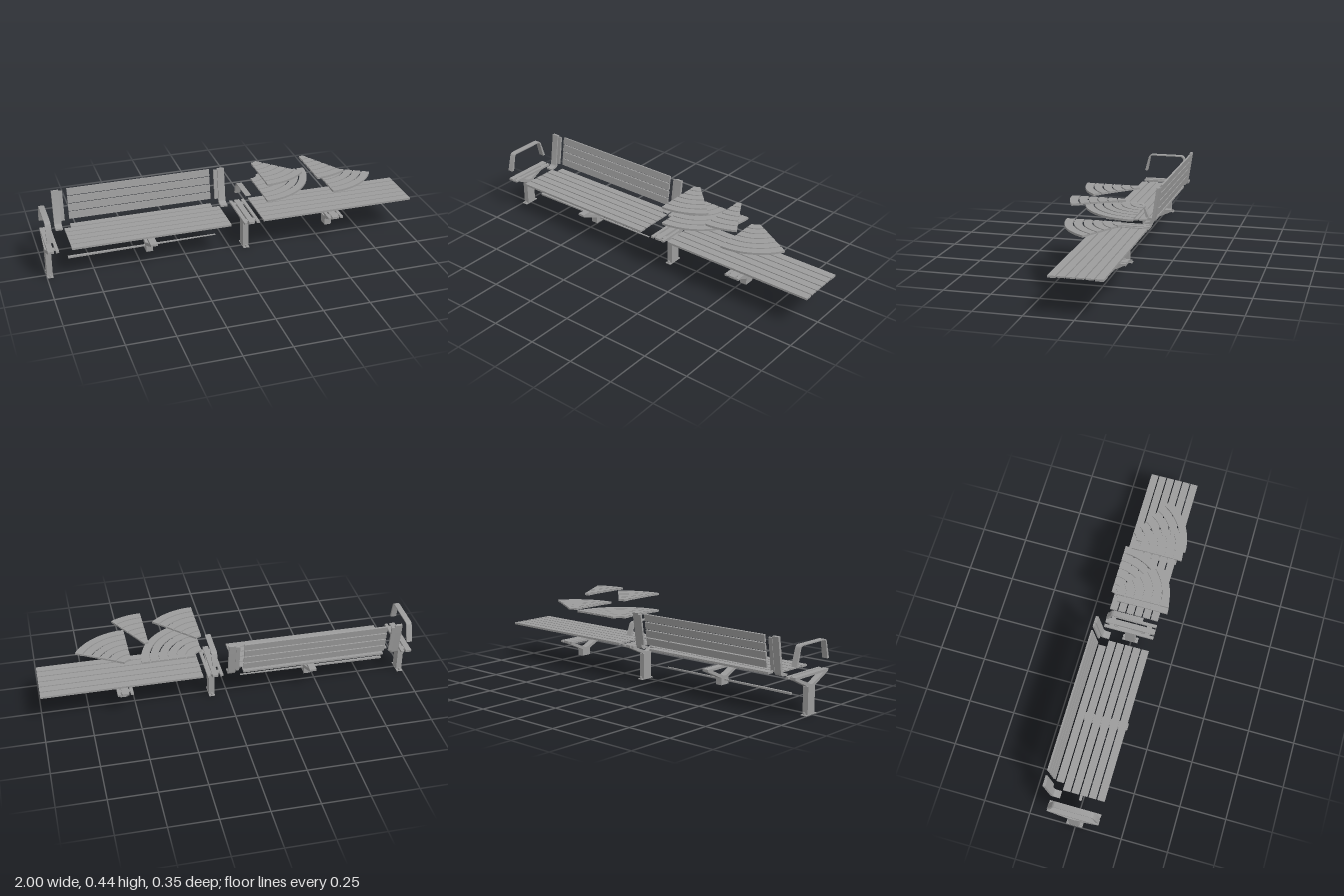
import * as THREE from 'three';
import { toCreasedNormals } from 'three/addons/utils/BufferGeometryUtils.js';

const metal = new THREE.MeshStandardMaterial({ color: 0x9c9c9c });
metal.name = 'grey metal';
const ZC = -0.007; // middle of the bench depth

export function createModel() {
  const model = new THREE.Group();

  function add(parent, name, geometry, x = 0, y = 0, z = 0) {
    const mesh = new THREE.Mesh(geometry, metal);
    mesh.name = name;
    mesh.position.set(x, y, z);
    parent.add(mesh);
    return mesh;
  }
  function group(name, x = 0, y = 0, z = 0) {
    const g = new THREE.Group();
    g.name = name;
    g.position.set(x, y, z);
    model.add(g);
    return g;
  }
  // Box given by its limits
  function bar(parent, name, x0, x1, y0, y1, z0, z1) {
    return add(parent, name, new THREE.BoxGeometry(x1 - x0, y1 - y0, z1 - z0),
      (x0 + x1) / 2, (y0 + y1) / 2, (z0 + z1) / 2);
  }
  const shapeOf = pts => new THREE.Shape(pts.map(p => new THREE.Vector2(...p)));
  // Side profile of (z, y) points, extruded across x
  function side(shape, width) {
    const g = new THREE.ExtrudeGeometry(shape, { depth: width, bevelEnabled: false, curveSegments: 8 });
    g.translate(0, 0, -width / 2).rotateY(-Math.PI / 2);
    return toCreasedNormals(g, 0.6);
  }
  // Plan shape of (x, z) points, extruded downwards
  function plan(shape, depth) {
    const g = new THREE.ExtrudeGeometry(shape, { depth, bevelEnabled: false, curveSegments: 28 });
    return toCreasedNormals(g.rotateX(Math.PI / 2), 0.6);
  }

  // V-shaped bracket hanging below its origin
  function bracket(g, width, sides) {
    const v = shapeOf([[0.137, 0], [0.137, -0.012]]);
    v.lineTo(0.034, -0.06);
    v.quadraticCurveTo(0, -0.074, -0.034, -0.06);
    v.lineTo(-0.137, -0.012);
    v.lineTo(-0.137, 0);
    v.holes.push(new THREE.Path([[0.1, -0.012], [-0.1, -0.012], [-0.008, -0.053], [0.008, -0.053]]
      .map(p => new THREE.Vector2(...p))));
    add(g, 'vBracket', side(v, width));
    for (const s of sides) {
      const x = s * 0.034;
      bar(g, 'seatRail', x - 0.008, x + 0.008, -0.012, -0.001, -0.137, 0.137);
      for (const z of [-0.1, 0.1]) {
        add(g, 'railLink', new THREE.BoxGeometry(0.034, 0.008, 0.026), s * 0.017, -0.007, z);
      }
    }
  }

  // Floor legs: hollow post, base plate, bolts and bracket
  function leg(name, x, sides) {
    const g = group(name, x, 0.206, ZC);
    bracket(g, 0.03, sides);
    const outline = (w, d, hole) => {
      const s = shapeOf([[-w, -d], [w, -d], [w, d], [-w, d]]);
      s.holes.push(new THREE.Path([[-hole, -0.02], [-hole, 0.02], [hole, 0.02], [hole, -0.02]]
        .map(p => new THREE.Vector2(...p))));
      return s;
    };
    add(g, 'post', plan(outline(0.015, 0.028, 0.01), 0.142), 0, -0.064, 0);
    add(g, 'basePlate', plan(outline(0.016, 0.044, 0.01), 0.004), 0, -0.202, 0);
    for (const z of [-0.036, 0.036]) {
      add(g, 'bolt', new THREE.CylinderGeometry(0.006, 0.006, 0.01, 6), 0, -0.197, z);
    }
  }
  leg('endLeg', -0.983, [1]);
  leg('middleLeg', 0.085, [-1, 1]);

  // Intermediate supports with a clamp block
  function support(name, x, sides) {
    const g = group(name, x, 0.16, ZC);
    bracket(g, 0.037, sides);
    bar(g, 'clampBlock', -0.0185, 0.0185, -0.1, -0.06, -0.028, 0.028);
  }
  support('leftSupport', -0.449, []);
  support('rightSupport', 0.562, [-1, 1]);

  // Straight seats of six slats
  function seat(name, x0, x1, rearInset) {
    const g = group(name);
    for (let i = 0; i < 6; i++) {
      const z = 0.127 - i * 0.0457;
      const inset = i === 5 ? rearInset : 0;
      const edge = i === 0 || i === 5;
      bar(g, 'seatSlat', x0 + inset, x1 - inset, edge ? 0.197 : 0.2, 0.208, z - 0.0395, z);
    }
  }
  seat('leftSeat', -0.874, -0.029, 0.037);
  seat('rightSeat', 0.15, 1.0, 0);

  // Curved seats: concentric slats on radial bars
  const deg = Math.PI / 180;
  function curvedSeat(name, x, y, degrees) {
    const g = group(name, x, y, -0.143);
    const a0 = (90 - degrees) * deg, a1 = Math.PI / 2;
    const R = 0.318, pitch = 0.047;
    for (let i = 0; i < 6; i++) {
      const r1 = R - i * pitch, r0 = r1 - 0.04;
      const s = new THREE.Shape();
      s.absarc(0, 0, r1, a0, a1, false);
      s.absarc(0, 0, r0, a1, a0, true);
      add(g, 'curvedSlat', plan(s, i === 0 || i === 5 ? 0.011 : 0.006));
    }
    for (const [a, s] of [[a0, 1], [a1, -1]]) {
      const c = Math.cos(a), n = Math.sin(a);
      const at = (r, w) => [r * c - s * w * n, r * n + s * w * c];
      const pts = [at(0.07, 0.001), at(0.3, 0.001), at(0.3, 0.018), at(0.07, 0.018)];
      add(g, 'radialBar', plan(shapeOf(s > 0 ? pts : pts.reverse()), 0.004), 0, -0.006, 0);
    }
  }
  curvedSeat('quarterSeat', 0.151, 0.346, 90);
  curvedSeat('sixthSeat', 0.52, 0.346, 60);
  curvedSeat('eighthSeat', 0.151, 0.439, 45);
  curvedSeat('twelfthSeat', 0.426, 0.439, 30);

  // Backrest with four leaning slats
  const back = group('backrest', 0, 0.2, -0.14);
  back.rotation.x = -0.148;
  for (let i = 0; i < 4; i++) {
    const y = 0.033 + i * 0.0432;
    bar(back, 'backSlat', -0.837, -0.063, y, y + 0.0375, -0.009, 0.001);
  }

  // Backrest posts with a foot and an inner flange
  const post = new THREE.Shape();
  post.moveTo(-0.098, 0.197);
  post.lineTo(-0.098, 0.207);
  post.lineTo(-0.12, 0.209);
  post.quadraticCurveTo(-0.134, 0.211, -0.137, 0.228);
  post.lineTo(-0.162, 0.398);
  post.lineTo(-0.177, 0.396);
  post.lineTo(-0.151, 0.222);
  post.quadraticCurveTo(-0.148, 0.2, -0.13, 0.199);
  for (const [x, s] of [[-0.9, 1], [0.0, -1]]) {
    add(model, 'backPost', side(post, 0.038), x, 0, 0);
    const f0 = x + s * 0.018, f1 = x + s * 0.039;
    bar(back, 'postFlange', Math.min(f0, f1), Math.max(f0, f1), 0.028, 0.192, -0.01, 0);
  }

  // Full armrest
  const arm = new THREE.Shape();
  arm.moveTo(0.132, 0.257);
  arm.lineTo(0.109, 0.343);
  arm.quadraticCurveTo(0.105, 0.357, 0.085, 0.358);
  arm.lineTo(-0.09, 0.358);
  arm.quadraticCurveTo(-0.107, 0.357, -0.111, 0.343);
  arm.lineTo(-0.14, 0.257);
  arm.lineTo(-0.125, 0.257);
  arm.lineTo(-0.104, 0.34);
  arm.quadraticCurveTo(-0.1, 0.351, -0.088, 0.352);
  arm.lineTo(0.084, 0.352);
  arm.quadraticCurveTo(0.098, 0.351, 0.101, 0.34);
  arm.lineTo(0.117, 0.257);
  add(model, 'fullArmrest', side(arm, 0.03), -0.984, 0, 0);

  // Half armrest, held at the back only
  const half = new THREE.Shape();
  half.moveTo(0.061, 0.327);
  half.lineTo(0.061, 0.33);
  half.lineTo(-0.095, 0.328);
  half.quadraticCurveTo(-0.112, 0.326, -0.117, 0.312);
  half.lineTo(-0.14, 0.257);
  half.lineTo(-0.124, 0.257);
  half.lineTo(-0.11, 0.308);
  half.quadraticCurveTo(-0.105, 0.321, -0.09, 0.323);
  add(model, 'halfArmrest', side(half, 0.03), 0.085, 0, 0);

  // Light rail, tapering along its length
  const rail = new THREE.BoxGeometry(0.8, 0.01, 0.014);
  const p = rail.attributes.position;
  for (let i = 0; i < p.count; i++) {
    if (p.getX(i) > 0) p.setXYZ(i, p.getX(i), p.getY(i) * 0.4 + 0.004, p.getZ(i) * 0.5);
  }
  rail.computeVertexNormals();
  add(model, 'lightRail', rail, -0.479, 0.084, ZC);

  return model;
}
